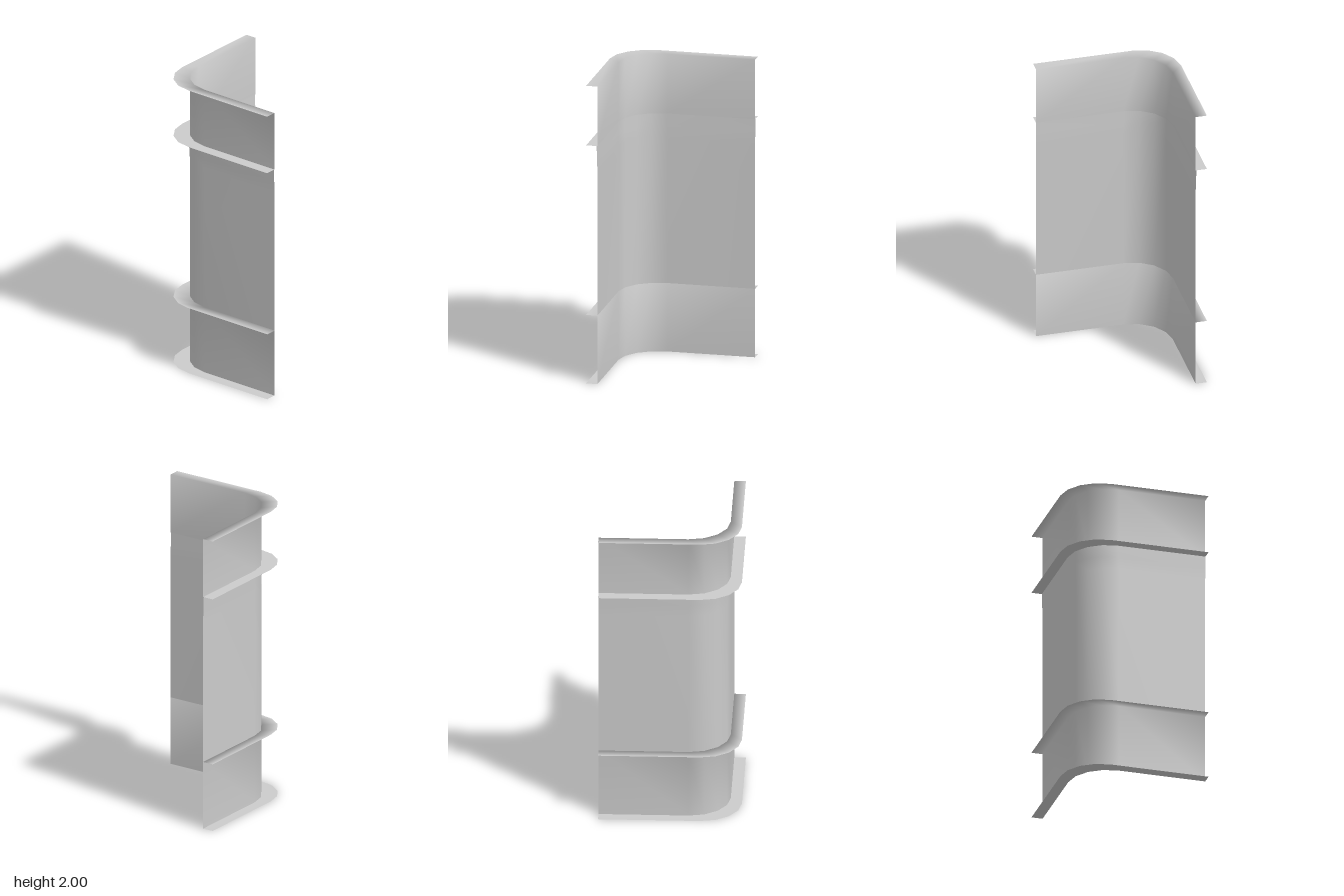
import * as THREE from 'three';

const END = 0.46, FACE = 0.385, RADIUS = 0.263, FLANGE = 0.075, ARC_STEPS = 4;

// Plan outline of the rounded corner, pushed outward by d
function cornerPath(d) {
  const edge = FACE + d, c = RADIUS - edge;
  const pts = [[-edge, END]];
  for (let i = 0; i <= ARC_STEPS; i++) {
    const a = (i / ARC_STEPS) * Math.PI / 2;
    pts.push([c - RADIUS * Math.cos(a), c - RADIUS * Math.sin(a)]);
  }
  pts.push([END, -edge]);
  return pts;
}

// Sheet that runs a profile of [outward offset, height] points along the corner
function sheet(name, profile, material) {
  const pos = [], index = [];
  const cols = cornerPath(0).length;
  profile.forEach(([d, y], r) => {
    cornerPath(d).forEach(([x, z], i) => {
      pos.push(x, y, z);
      if (r + 1 < profile.length && i + 1 < cols) {
        const a = r * cols + i, b = a + cols;
        index.push(a, b, a + 1, b, b + 1, a + 1);
      }
    });
  });
  const geo = new THREE.BufferGeometry();
  geo.setAttribute('position', new THREE.Float32BufferAttribute(pos, 3));
  geo.setIndex(index);
  geo.computeVertexNormals();
  const mesh = new THREE.Mesh(geo, material);
  mesh.name = name;
  return mesh;
}

export function createModel() {
  const group = new THREE.Group();
  group.name = 'cornerPanel';
  const mat = new THREE.MeshStandardMaterial({ color: 0xcccccc, side: THREE.DoubleSide });

  group.add(
    // Upper and lower bands, each with a flange blended into its top edge
    sheet('upperBand', [[FLANGE, 2], [0, 2], [0, 1.6]], mat),
    sheet('lowerBand', [[FLANGE, 0.46], [0, 0.46], [0, 0]], mat),
    // Middle wall, flared very slightly at its top
    sheet('middleWall', [[0.005, 1.6], [0.003, 1.52], [0, 1.44], [0, 0.46]], mat),
    // Flat ledges
    sheet('upperLedge', [[FLANGE, 1.6], [0, 1.6]], mat),
    sheet('baseLedge', [[FLANGE, 0], [0, 0]], mat)
  );
  return group;
}
